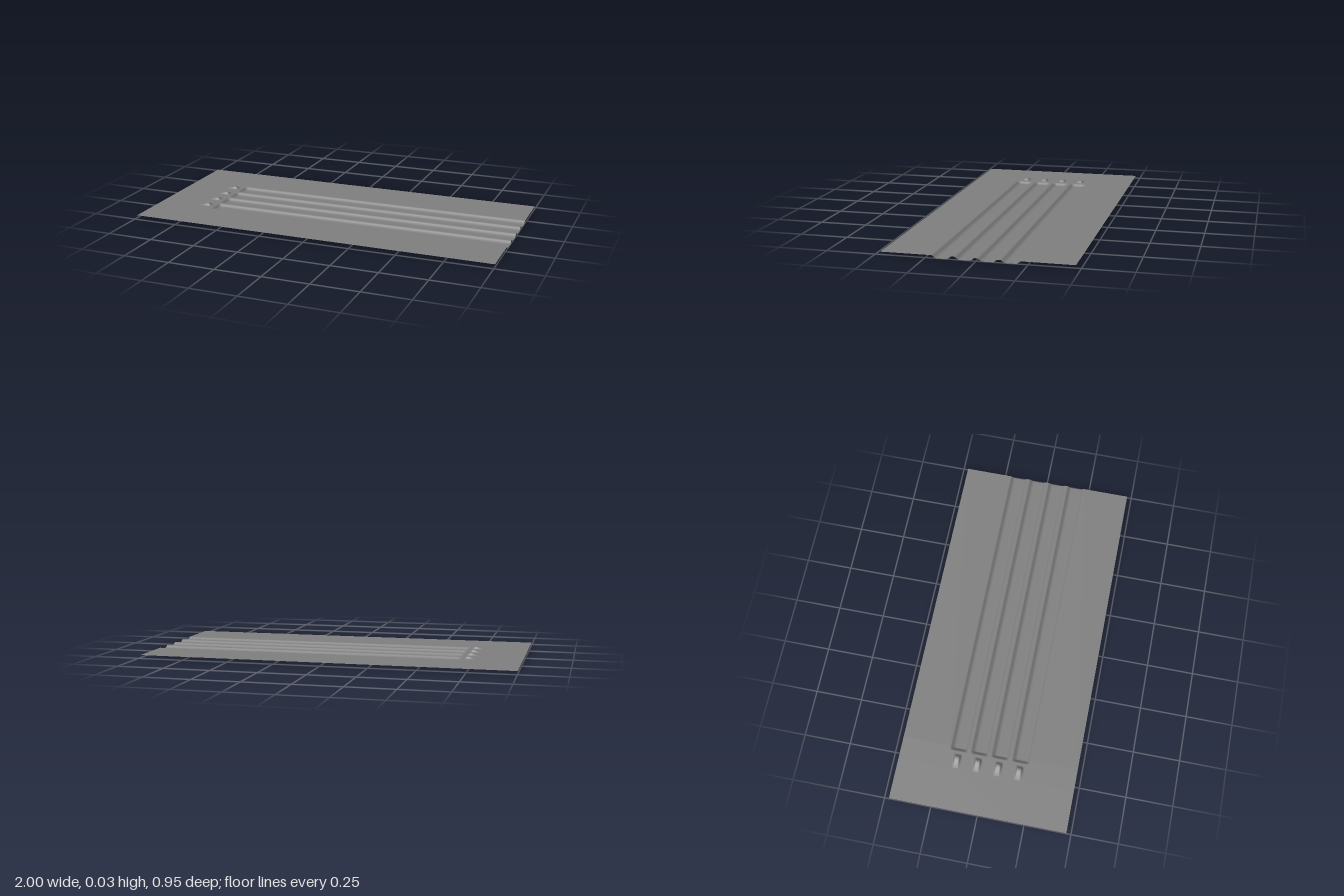
import * as THREE from 'three';

const LEVEL = 0.014; // height of the flat sheet
const LANES = [-0.167, -0.055, 0.057, 0.17]; // z centres of the grooves

// Profiles as [position, amount 0..1]; the outermost points keep the flat sheet evenly shaded
const grooveAcross = [[0, 1], [0.024, 1], [0.028, 0.95], [0.032, 0.83], [0.037, 0.6], [0.041, 0.36], [0.045, 0.11], [0.0485, 0], [0.052, 0]];
const grooveAlong = [[-0.684, 0], [-0.68, 0], [-0.677, 0.1], [-0.672, 0.4], [-0.667, 0.75], [-0.663, 0.93], [-0.658, 1], [1, 1]];
const bumpAcross = [[0, 1], [0.008, 1], [0.011, 0.95], [0.0135, 0.78], [0.0165, 0.4], [0.019, 0.15], [0.024, 0]];
const bumpAlong = [[-0.776, 0], [-0.772, 0], [-0.755, 0.25], [-0.74, 0.58], [-0.728, 0.87], [-0.719, 1], [-0.713, 0.92], [-0.707, 0.6], [-0.702, 0.22], [-0.697, 0], [-0.692, 0]];

// Linear lookup, zero outside the profile
function sample(profile, t) {
  for (let i = 1; i < profile.length; i++) {
    const [a, va] = profile[i - 1], [b, vb] = profile[i];
    if (t >= a - 1e-6 && t <= b + 1e-6) return va + (vb - va) * (t - a) / (b - a);
  }
  return 0;
}

function height(x, z) {
  let y = LEVEL;
  for (const c of LANES) {
    const d = Math.abs(z - c);
    y -= 0.014 * sample(grooveAlong, x) * sample(grooveAcross, d);
    y += 0.014 * sample(bumpAlong, x) * sample(bumpAcross, d);
  }
  return y;
}

const stations = (list) => [...new Set(list.map((v) => +v.toFixed(4)))].sort((a, b) => a - b);

export function createModel() {
  const group = new THREE.Group();

  // Grid lines follow every bend of the profiles
  const xs = stations([-1, ...bumpAlong.map((p) => p[0]), ...grooveAlong.map((p) => p[0])]);
  const offsets = [...grooveAcross, ...bumpAcross].map((p) => p[0]);
  const zs = stations([-0.475, 0.475, ...LANES.flatMap((c) => offsets.flatMap((o) => [c - o, c + o]))]);

  // Pressed sheet with four grooves open at one end and a raised marker before each
  const sheet = new THREE.PlaneGeometry(2, 0.95, xs.length - 1, zs.length - 1);
  const pos = sheet.attributes.position;
  for (let i = 0; i < pos.count; i++) {
    const x = xs[i % xs.length], z = zs[Math.floor(i / xs.length)];
    pos.setXYZ(i, x, height(x, z), z);
  }
  sheet.computeVertexNormals();
  const mesh = new THREE.Mesh(
    sheet,
    new THREE.MeshStandardMaterial({ color: 0x808080, side: THREE.DoubleSide })
  );
  mesh.name = 'groovedSheet';
  group.add(mesh);
  return group;
}
